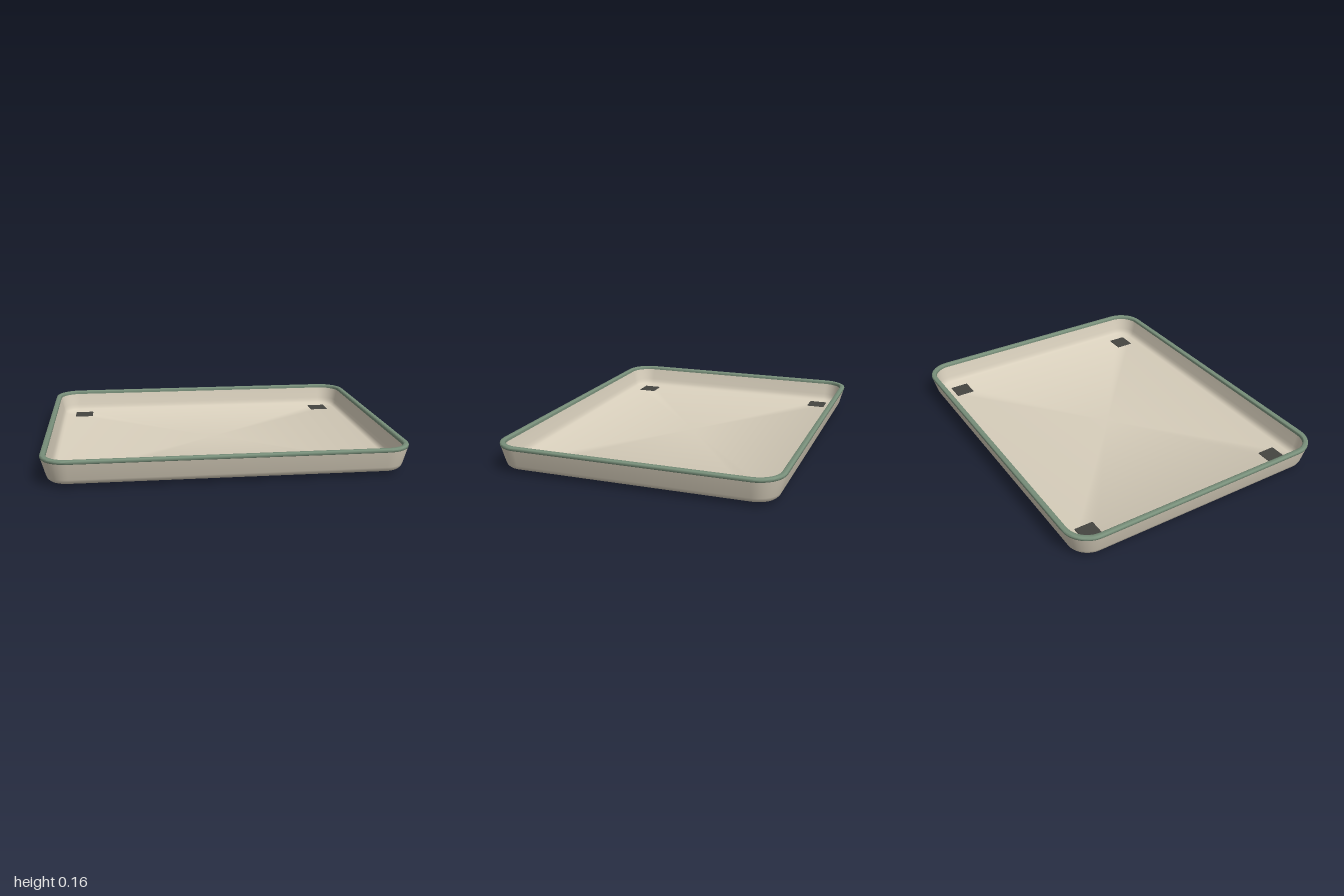
import * as THREE from 'three';
import { toCreasedNormals } from 'three/addons/utils/BufferGeometryUtils.js';
import { RoundedBoxGeometry } from 'three/addons/geometries/RoundedBoxGeometry.js';

const HALF_X = 1, HALF_Z = 0.8, RADIUS = 0.15, STEPS = 10;

// One rounded-rectangle loop, inset from the outer outline; inset null is the centre point
function ring(inset, y) {
  const points = [];
  for (let corner = 0; corner < 4; corner++) {
    const sx = corner === 0 || corner === 3 ? 1 : -1;
    const sz = corner < 2 ? 1 : -1;
    for (let i = 0; i <= STEPS; i++) {
      const a = (corner + i / STEPS) * Math.PI / 2;
      if (inset === null) points.push(0, y, 0);
      else {
        const r = RADIUS - inset;
        points.push(sx * (HALF_X - RADIUS) + r * Math.cos(a), y, sz * (HALF_Z - RADIUS) + r * Math.sin(a));
      }
    }
  }
  return points;
}

// Skin a profile of [inset, y] steps around the rounded rectangle
function loft(profile, crease) {
  const n = 4 * (STEPS + 1), positions = [], index = [];
  profile.forEach(([inset, y]) => positions.push(...ring(inset, y)));
  for (let i = 0; i < profile.length - 1; i++) {
    for (let j = 0; j < n; j++) {
      const k = (j + 1) % n;
      const a = i * n + j, b = i * n + k, c = a + n, d = b + n;
      if (profile[i][0] !== null) index.push(a, c, b);
      if (profile[i + 1][0] !== null) index.push(b, c, d);
      if (profile[i][0] === null) index.splice(index.length - 3, 3, a, c, d);
    }
  }
  const g = new THREE.BufferGeometry();
  g.setAttribute('position', new THREE.Float32BufferAttribute(positions, 3));
  g.setIndex(index);
  return toCreasedNormals(g, crease);
}

export function createModel() {
  const cream = new THREE.MeshStandardMaterial({ name: 'cream', color: 0xd8cfbc });
  const green = new THREE.MeshStandardMaterial({ name: 'sage green', color: 0x788f7a });
  const dark = new THREE.MeshStandardMaterial({ name: 'dark rubber', color: 0x454541 });

  const tray = new THREE.Group();
  tray.name = 'tray';
  const add = (name, geometry, material) => {
    const mesh = new THREE.Mesh(geometry, material);
    mesh.name = name;
    tray.add(mesh);
    return mesh;
  };

  // Underside and flared outer wall
  add('outerShell', loft([
    [null, 0.018], [0.062, 0.018], [0.046, 0.022], [0.035, 0.032], [0.028, 0.048], [0.003, 0.14],
  ], 0.7), cream);

  // Coloured lip around the top
  add('rim', loft([
    [0.003, 0.14], [0, 0.143], [0, 0.153], [0.002, 0.158], [0.007, 0.16],
    [0.024, 0.16], [0.028, 0.158], [0.03, 0.153], [0.03, 0.14],
  ], 0.9), green);

  // Inner wall, fillet and floor
  add('innerShell', loft([
    [0.03, 0.14], [0.044, 0.07], [0.049, 0.052], [0.057, 0.038], [0.07, 0.03], [null, 0.03],
  ], 0.7), cream);

  // Four feet, their tops showing just above the floor
  for (const sx of [-1, 1]) {
    for (const sz of [-1, 1]) {
      const foot = add(`${sz > 0 ? 'front' : 'back'}${sx > 0 ? 'Left' : 'Right'}Foot`,
        new RoundedBoxGeometry(0.116, 0.034, 0.112, 2, 0.006), dark);
      foot.position.set(sx * 0.818, 0.017, sz * 0.624);
    }
  }
  return tray;
}
